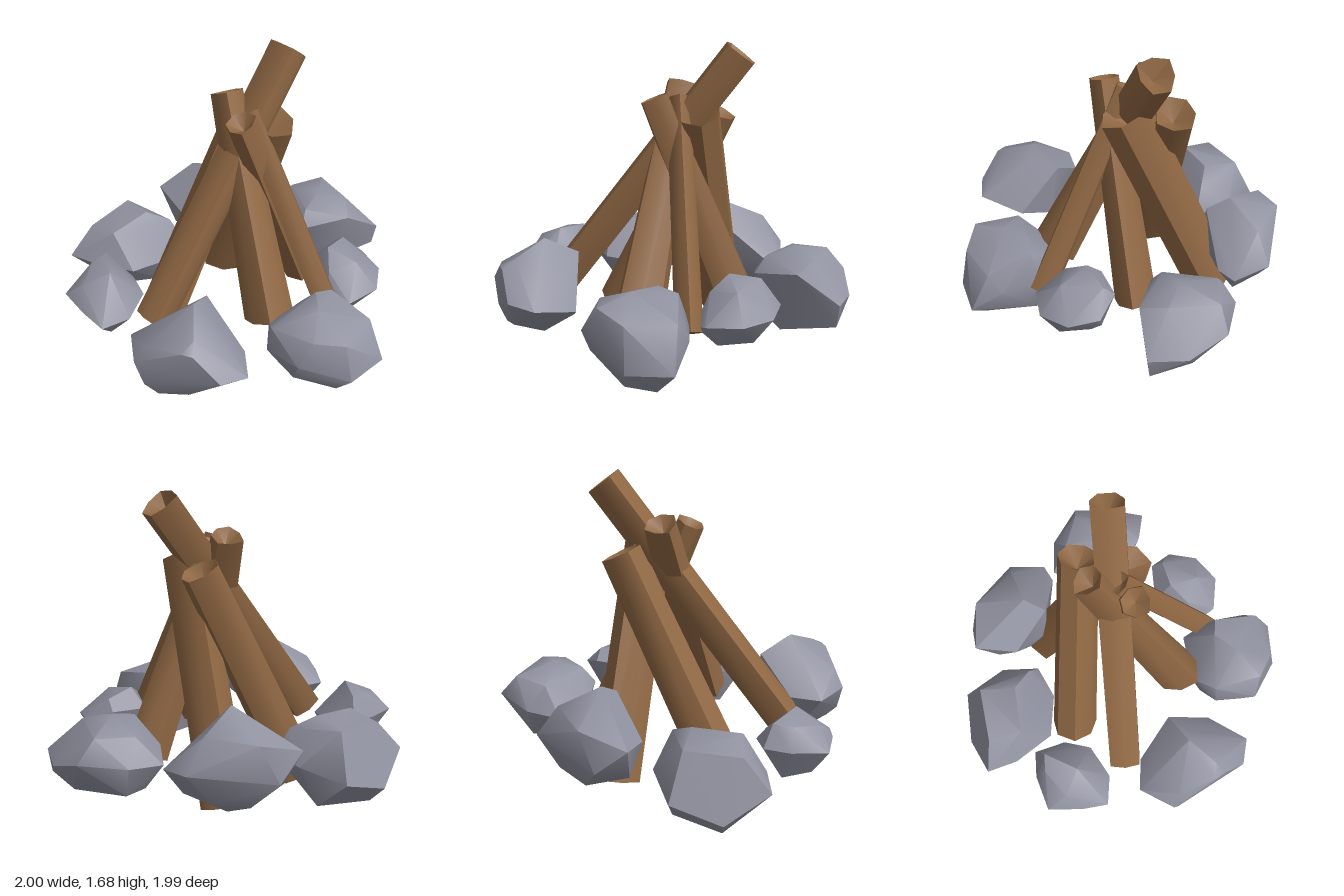
import * as THREE from 'three';
import { toCreasedNormals } from 'three/addons/utils/BufferGeometryUtils.js';
import { ConvexGeometry } from 'three/addons/geometries/ConvexGeometry.js';

const wood = new THREE.MeshStandardMaterial({ color: 0x8f6743 });
wood.name = 'wood brown';
const stone = new THREE.MeshStandardMaterial({ color: 0x9192a0 });
stone.name = 'stone grey';

const v = (p) => new THREE.Vector3(...p);

// Rough-hewn log from foot to top, with uneven facets and a hollowed top end
function log(name, foot, top, rFoot, rTop, seed) {
  const a = v(foot), b = v(top), sides = 7;
  const geo = new THREE.CylinderGeometry(rTop, rFoot, a.distanceTo(b), sides, 1);
  const pos = geo.attributes.position;
  for (let i = 0; i < pos.count; i++) {
    const x = pos.getX(i), y = pos.getY(i), z = pos.getZ(i);
    if (Math.hypot(x, z) < 1e-4) {
      if (y > 0) pos.setY(i, y - rTop * 0.8);
      continue;
    }
    const k = (Math.round((Math.atan2(z, x) / Math.PI / 2) * sides * 4) + sides * 4) % (sides * 4);
    const s = 1 + 0.1 * Math.sin(k * 2.3 + seed * 1.7);
    pos.setX(i, x * s);
    pos.setZ(i, z * s);
  }
  const mesh = new THREE.Mesh(toCreasedNormals(geo, 0.8), wood);
  mesh.name = name;
  mesh.position.copy(a).lerp(b, 0.5);
  mesh.quaternion.setFromUnitVectors(new THREE.Vector3(0, 1, 0), b.sub(a).normalize());
  return mesh;
}

// Faceted boulder wrapped around a few corner points
function rock(name, corners) {
  const geo = new ConvexGeometry(corners.map(v));
  const mesh = new THREE.Mesh(toCreasedNormals(geo, 0.75), stone);
  mesh.name = name;
  return mesh;
}

export function createModel() {
  const model = new THREE.Group();
  model.name = 'campfire';

  // Leaning logs
  const logs = new THREE.Group();
  logs.name = 'logs';
  logs.add(
    log('tallLog', [-0.63, 0.31, -0.13], [0.365, 1.63, 0.05], 0.1, 0.1, 1),
    log('backLeftLog', [-0.29, 0.065, -0.36], [0.27, 1.285, -0.14], 0.135, 0.11, 2),
    log('backRightLog', [0.33, 0.055, -0.39], [0.14, 1.31, 0.1], 0.14, 0.13, 3),
    log('rightLog', [0.38, 0.2, 0.17], [-0.1, 1.39, 0.07], 0.12, 0.08, 4),
    log('frontLeftLog', [-0.2, 0.28, 0.35], [0.06, 1.44, -0.14], 0.135, 0.085, 5),
    log('frontLog', [0.06, 0.25, 0.59], [0.04, 1.38, 0.01], 0.075, 0.065, 6),
  );

  // Ring of stones
  const rocks = new THREE.Group();
  rocks.name = 'stoneRing';
  rocks.add(
    rock('backRock', [
      [-0.35, 0.47, -0.87], [-0.05, 0.5, -0.85], [-0.36, 0.5, -0.68], [-0.1, 0.52, -0.65], [0, 0.45, -0.55],
      [-0.49, 0.3, -0.93], [-0.48, 0.32, -0.75], [-0.38, 0.3, -0.52], [-0.14, 0.28, -0.44], [0.05, 0.3, -0.49],
      [0.1, 0.3, -0.7], [0.02, 0.25, -0.95], [-0.25, 0.16, -1],
      [-0.25, 0.06, -0.91], [0, 0.06, -0.75], [-0.3, 0.06, -0.72], [-0.15, 0.1, -0.52],
    ]),
    rock('backRightRock', [
      [0.37, 0.66, -0.47], [0.3, 0.58, -0.36], [0.6, 0.56, -0.5], [0.47, 0.55, -0.75], [0.22, 0.47, -0.82],
      [0.155, 0.4, -0.59], [0.26, 0.3, -0.38], [0.57, 0.36, -0.26], [0.68, 0.35, -0.29], [0.72, 0.39, -0.5],
      [0.39, 0.34, -0.82], [0.22, 0.25, -0.7],
      [0.45, 0.19, -0.68], [0.42, 0.09, -0.49], [0.6, 0.21, -0.35], [0.25, 0.17, -0.5], [0.6, 0.22, -0.55],
    ]),
    rock('rightRock', [
      [0.69, 0.55, 0.09], [0.9, 0.5, -0.02], [0.72, 0.49, -0.13], [0.53, 0.5, 0.1], [0.78, 0.51, 0.23],
      [1, 0.38, 0], [0.98, 0.3, 0.23], [0.88, 0.31, 0.42], [0.66, 0.46, 0.33], [0.46, 0.4, 0.12],
      [0.49, 0.36, -0.06], [0.63, 0.34, -0.24], [0.82, 0.36, -0.19],
      [0.87, 0.18, 0.4], [0.91, 0.17, 0.15], [0.6, 0.09, 0.2], [0.55, 0.1, 0], [0.8, 0.19, -0.14],
    ]),
    rock('frontRightRock', [
      [0.28, 0.51, 0.42], [0.45, 0.48, 0.42], [0.17, 0.44, 0.5], [0.3, 0.47, 0.6],
      [0.26, 0.4, 0.32], [0.47, 0.42, 0.36], [0.545, 0.36, 0.5], [0.48, 0.34, 0.66], [0.315, 0.33, 0.74],
      [0.13, 0.31, 0.67], [0.09, 0.27, 0.55],
      [0.48, 0.25, 0.52], [0.2, 0.19, 0.62], [0.2, 0.17, 0.42], [0.42, 0.17, 0.42], [0.38, 0.22, 0.66],
    ]),
    rock('frontRock', [
      [-0.23, 0.52, 0.68], [-0.41, 0.47, 0.77], [-0.4, 0.42, 0.5], [-0.1, 0.51, 0.58], [0, 0.48, 0.62],
      [-0.02, 0.42, 0.88], [-0.28, 0.42, 0.89],
      [-0.49, 0.34, 0.73], [-0.44, 0.3, 0.5], [-0.28, 0.32, 0.4], [0, 0.3, 0.43], [0.055, 0.31, 0.6],
      [0.04, 0.31, 0.83], [-0.04, 0.2, 0.99], [-0.28, 0.19, 0.94],
      [0, 0.06, 0.6], [-0.28, 0.09, 0.85], [-0.12, 0.06, 0.86], [-0.45, 0.21, 0.68], [-0.3, 0.1, 0.46], [-0.05, 0.1, 0.47],
    ]),
    rock('leftRock', [
      [-0.93, 0.54, 0.32], [-0.85, 0.58, 0.34], [-0.7, 0.66, 0.22], [-0.66, 0.6, 0.28], [-0.52, 0.56, 0.16],
      [-0.91, 0.54, 0.38], [-0.95, 0.49, 0.1],
      [-1, 0.39, 0.06], [-0.98, 0.24, 0.1], [-0.87, 0.4, 0.52], [-0.73, 0.38, 0.59],
      [-0.53, 0.31, 0.42], [-0.87, 0.2, 0.31], [-0.71, 0.19, 0.31], [-0.85, 0.38, -0.1], [-0.68, 0.38, -0.05],
      [-0.73, 0.07, 0.1], [-0.55, 0.21, 0.2], [-0.93, 0.16, 0.15],
    ]),
    rock('backLeftRock', [
      [-0.66, 0.52, -0.42], [-0.52, 0.5, -0.58], [-0.62, 0.49, -0.6], [-0.78, 0.46, -0.52],
      [-0.81, 0.36, -0.64], [-0.61, 0.37, -0.66], [-0.47, 0.38, -0.63], [-0.45, 0.34, -0.45], [-0.52, 0.33, -0.31],
      [-0.71, 0.31, -0.245], [-0.87, 0.32, -0.3], [-0.86, 0.35, -0.45],
      [-0.75, 0.18, -0.36], [-0.57, 0.17, -0.4], [-0.58, 0.17, -0.57], [-0.74, 0.2, -0.56],
    ]),
  );

  model.add(logs, rocks);
  return model;
}
